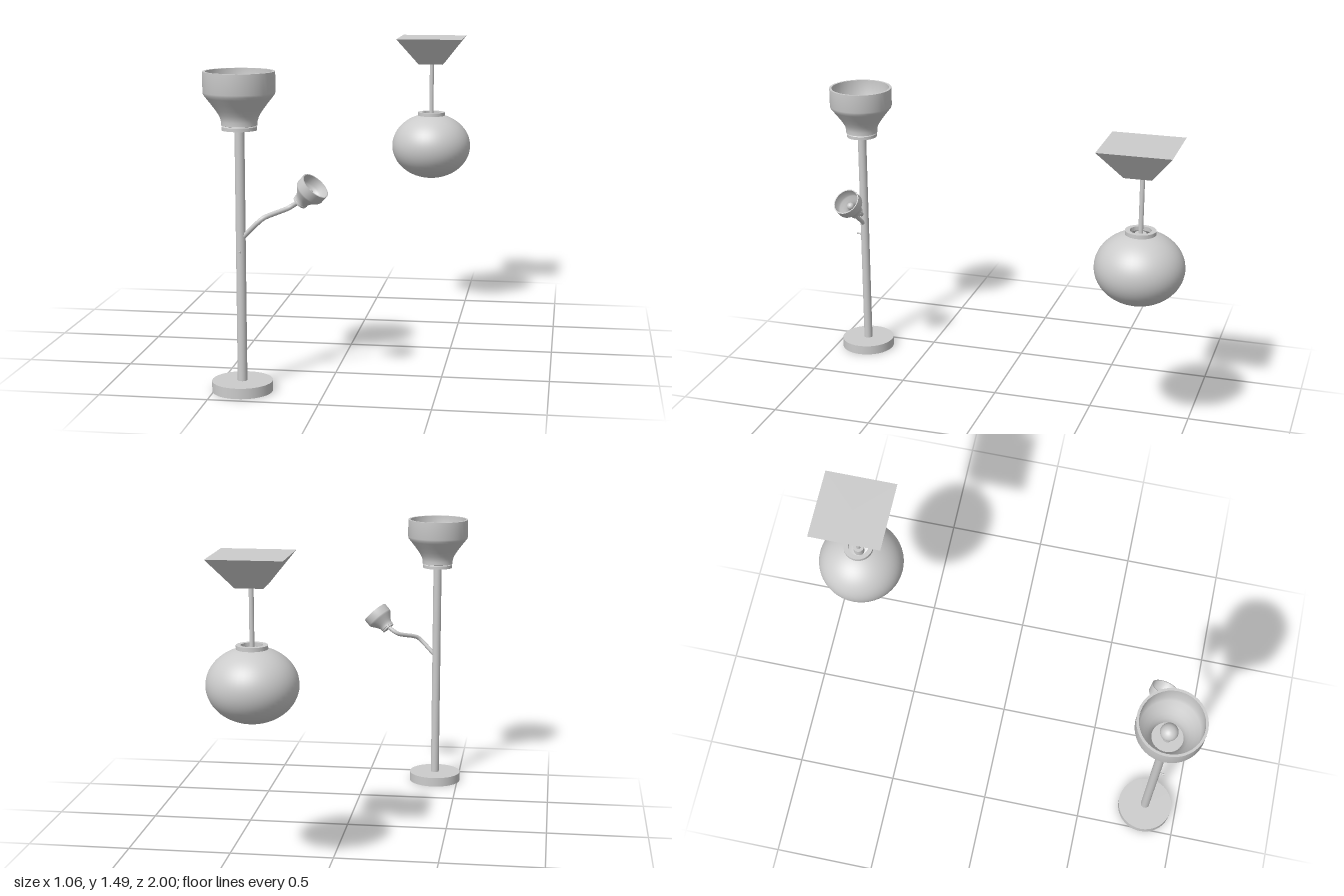
import * as THREE from 'three';
import { toCreasedNormals } from 'three/addons/utils/BufferGeometryUtils.js';

const material = new THREE.MeshStandardMaterial({ color: 0xcccccc, side: THREE.DoubleSide });
const flat = new THREE.MeshStandardMaterial({ color: 0xcccccc, flatShading: true });

function add(parent, name, geometry, x = 0, y = 0, z = 0, mat = material) {
  const mesh = new THREE.Mesh(geometry, mat);
  mesh.name = name;
  mesh.position.set(x, y, z);
  parent.add(mesh);
  return mesh;
}

const rod = (r, h, sides = 24) => new THREE.CylinderGeometry(r, r, h, sides);

function lathe(points, sides = 40) {
  const profile = points.map(([r, y]) => new THREE.Vector2(r, y));
  return toCreasedNormals(new THREE.LatheGeometry(profile, sides), 0.6);
}

// Bell-shaped uplight bowl with collar and bulb, opening along +y from y = 0 to 0.26
function lampHead(name, bulbY) {
  const head = new THREE.Group();
  head.name = name;
  add(head, 'shade', lathe([
    [0, 0], [0.078, 0], [0.078, 0.016], [0.074, 0.02], [0.081, 0.022],
    [0.081, 0.04], [0.085, 0.055], [0.092, 0.07], [0.105, 0.09], [0.125, 0.117],
    [0.147, 0.145], [0.157, 0.158], [0.16, 0.168], [0.16, 0.26],
    [0.148, 0.26], [0.148, 0.17], [0.138, 0.153], [0.114, 0.122],
    [0.094, 0.095], [0.08, 0.07], [0.074, 0.045], [0.074, 0.03], [0, 0.03],
  ]));
  add(head, 'bulbSocket', rod(0.022, bulbY - 0.03), 0, (bulbY + 0.03) / 2, 0);
  add(head, 'bulb', new THREE.SphereGeometry(0.042, 24, 16), 0, bulbY, 0);
  return head;
}

function floorLamp() {
  const lamp = new THREE.Group();
  lamp.name = 'floorLamp';
  const x = -0.375, z = 0.836;
  add(lamp, 'base', rod(0.138, 0.048, 40), x, 0.024, z);
  add(lamp, 'pole', rod(0.022, 1.15), x, 0.62, z);
  const button = add(lamp, 'switch', rod(0.005, 0.03, 10), x, 0.645, z + 0.03);
  button.rotation.x = Math.PI / 2;

  const bowl = lampHead('bowl', 0.12);
  bowl.position.set(x, 1.19, z);
  lamp.add(bowl);

  // Bent side arm with gently rounded corners
  const bends = [
    [-0.372, 0.7, 0.838], [-0.355, 0.718, 0.84], [-0.285, 0.787, 0.857],
    [-0.265, 0.802, 0.85], [-0.175, 0.832, 0.773], [-0.155, 0.843, 0.767],
    [-0.113, 0.872, 0.778],
  ].map((p) => new THREE.Vector3(...p));
  const path = new THREE.CatmullRomCurve3(bends, false, 'centripetal');
  add(lamp, 'sideArm', new THREE.TubeGeometry(path, 48, 0.011, 12));

  // Small reading head, same bowl shape tilted outward
  const foot = new THREE.Vector3(-0.118, 0.861, 0.775);
  const axis = new THREE.Vector3(0.075, 0.081, 0.025).normalize();
  const reading = lampHead('readingHead', 0.15);
  reading.scale.setScalar(0.44);
  reading.position.copy(foot);
  reading.quaternion.setFromUnitVectors(new THREE.Vector3(0, 1, 0), axis);
  lamp.add(reading);
  return lamp;
}

function pendantLamp() {
  const lamp = new THREE.Group();
  lamp.name = 'pendantLamp';
  const x = 0.32, z = -0.79;
  // Square tapered ceiling mount
  const mount = new THREE.CylinderGeometry(0.172 * Math.SQRT2, 0.064 * Math.SQRT2, 0.14, 4);
  mount.rotateY(Math.PI / 4);
  add(lamp, 'ceilingMount', mount, x, 1.42, z + 0.01, flat);
  add(lamp, 'stem', rod(0.011, 0.3), x, 1.21, z);
  add(lamp, 'socket', rod(0.026, 0.04), x, 1.055, z);

  // Flattened globe, open under its collar
  const globe = new THREE.SphereGeometry(0.21, 48, 32, 0, Math.PI * 2, 0.27, Math.PI - 0.27);
  globe.scale(1, 0.83, 1);
  add(lamp, 'globe', globe, x, 0.906, z);
  add(lamp, 'collar', lathe([
    [0.05, 1.068], [0.072, 1.068], [0.072, 1.088], [0.05, 1.088], [0.05, 1.068],
  ]), x, 0, z);
  return lamp;
}

export function createModel() {
  const model = new THREE.Group();
  model.name = 'lampSet';
  model.add(floorLamp(), pendantLamp());
  return model;
}
